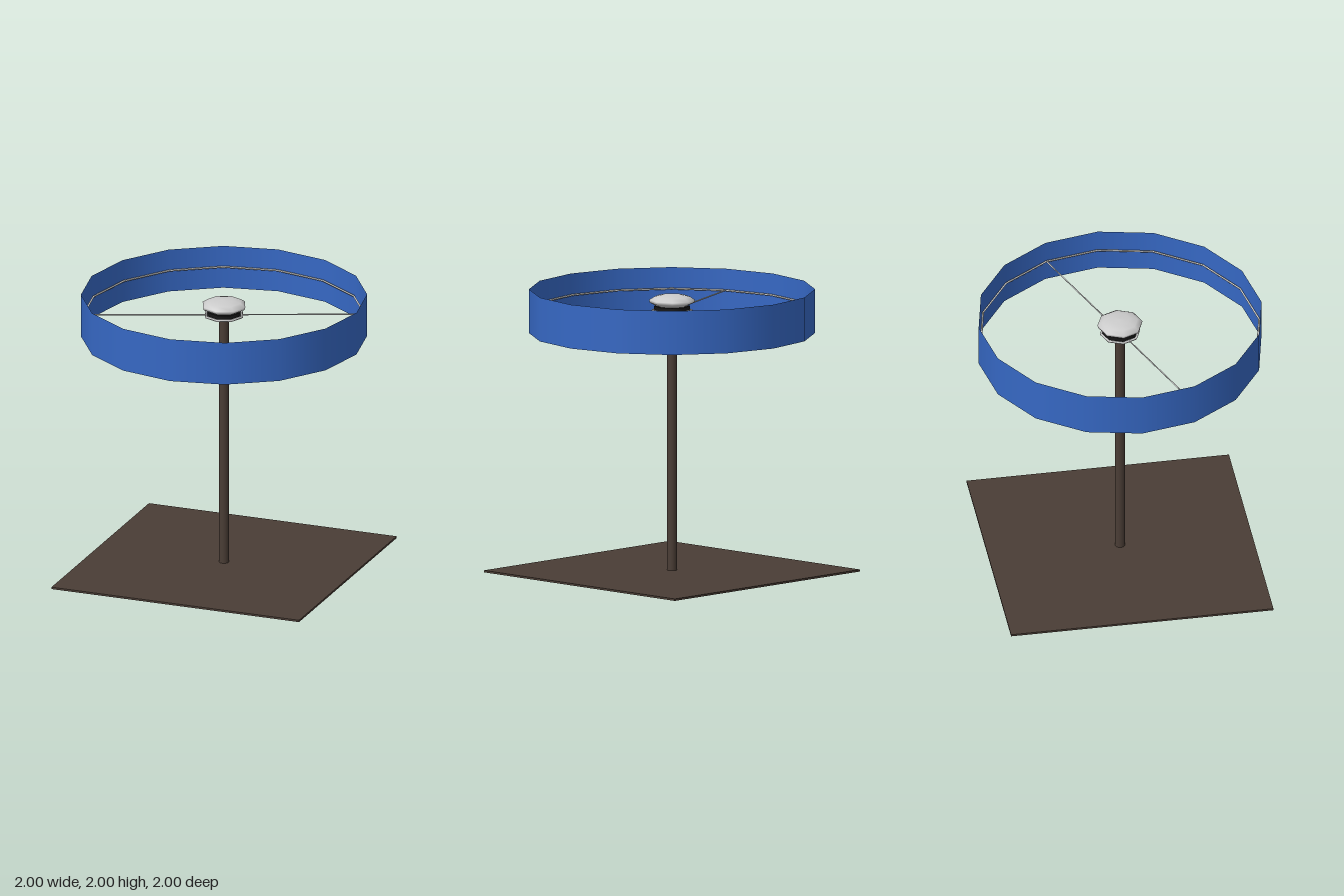
import * as THREE from 'three';

const mat = (color, extra = {}) => new THREE.MeshStandardMaterial({ color, ...extra });

export function createModel() {
  const group = new THREE.Group();
  const brown = mat(0x4a3d35);
  const grey = mat(0xcccccc);
  const black = mat(0x161616);
  const blue = mat(0x3668c4, { side: THREE.DoubleSide });

  const add = (name, geometry, material, y = 0) => {
    const mesh = new THREE.Mesh(geometry, material);
    mesh.name = name;
    mesh.position.y = y;
    group.add(mesh);
    return mesh;
  };
  // Faceted ring lying flat
  const ring = (radius, tube, sides, turn = 0) =>
    new THREE.TorusGeometry(radius, tube, 6, sides).rotateZ(turn).rotateX(Math.PI / 2);

  const SIDES = 16, TURN = 0.012, FRAME_Y = 1.85;

  // Base plate and pole
  add('base', new THREE.BoxGeometry(1.86, 0.014, 1.86), brown, 0.007);
  add('pole', new THREE.CylinderGeometry(0.035, 0.035, 1.83, 16), brown, 0.925);

  // Open drum shade
  add('shade', new THREE.CylinderGeometry(1, 1, 0.31, SIDES, 1, true, -TURN), blue, 1.845);

  // Wire frame: hoop inside the shade and a rod across it
  add('frameHoop', ring(0.985, 0.007, SIDES, TURN), grey, FRAME_Y);
  const rod = new THREE.CylinderGeometry(0.005, 0.005, 1.97, 6).rotateZ(Math.PI / 2);
  add('frameRod', rod, grey, FRAME_Y).rotation.y = Math.PI / 8 - TURN;

  // Lamp holder: dark socket with a pale collar
  add('socket', new THREE.CylinderGeometry(0.125, 0.125, 0.045, 8), black, 1.86);
  add('collar', ring(0.135, 0.009, 8), grey, FRAME_Y);

  // Eight-sided domed bulb
  const profile = [[0.105, 1.88], [0.155, 1.905], [0.16, 1.925], [0.125, 1.948], [0.07, 1.96], [0, 1.964]]
    .map(([r, y]) => new THREE.Vector2(r, y));
  add('bulb', new THREE.LatheGeometry(profile, 8), grey);

  return group;
}
